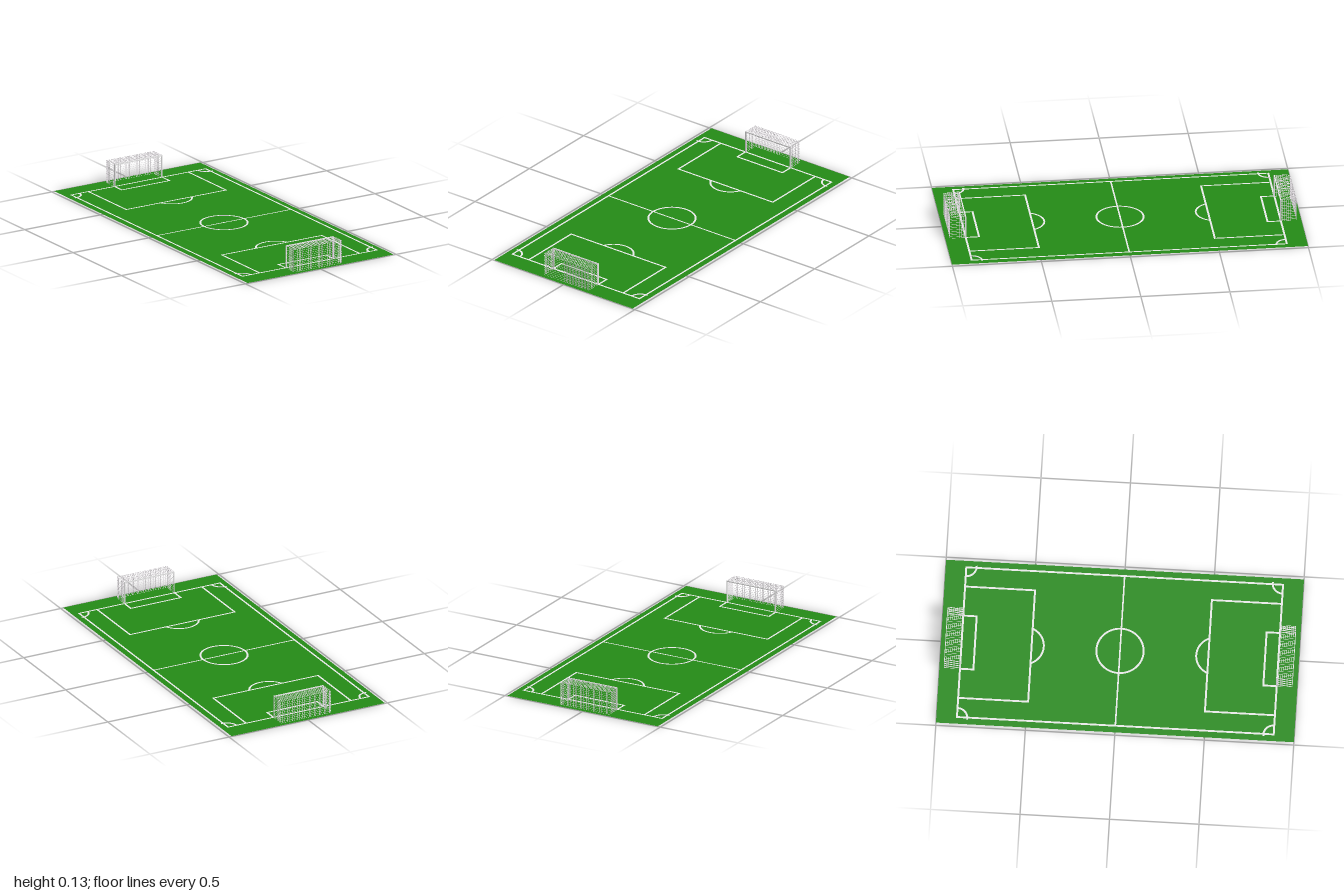
import * as THREE from 'three';
import { mergeGeometries } from 'three/addons/utils/BufferGeometryUtils.js';

const grass = new THREE.MeshStandardMaterial({ color: 0x248a16, side: THREE.DoubleSide });
grass.name = 'grass green';
const chalk = new THREE.MeshStandardMaterial({ color: 0xf6f6f6, side: THREE.DoubleSide });
chalk.name = 'line white';
const metal = new THREE.MeshStandardMaterial({ color: 0xf0f0f0 });
metal.name = 'post white';
const cord = new THREE.MeshStandardMaterial({ color: 0xeae6ea });
cord.name = 'net white';

const GROUND = 0.002, LINE = 0.004, W = 0.011;
const SIDE = 0.445, END = 0.885;

function add(parent, name, geometry, material) {
  const mesh = new THREE.Mesh(geometry, material);
  mesh.name = name;
  parent.add(mesh);
  return mesh;
}

// Flat painted strip covering a straight run between two points on the pitch
function strip(x0, z0, x1, z1, w = W) {
  const g = new THREE.PlaneGeometry(Math.abs(x1 - x0) + w, Math.abs(z1 - z0) + w);
  g.rotateX(-Math.PI / 2);
  return g.translate((x0 + x1) / 2, LINE, (z0 + z1) / 2);
}

// Painted arc with a narrow keel; angle runs from +x towards -z
function arc(x, z, r, start, length, w, bottom, top = LINE) {
  const section = [[-w / 2, top], [w / 2, top], [0.0015, bottom], [-0.0015, bottom], [-w / 2, top]];
  const points = section.map(([dr, y]) => new THREE.Vector2(r + dr, y));
  const g = new THREE.LatheGeometry(points, 48, start + Math.PI / 2, length).toNonIndexed();
  g.computeVertexNormals();
  return g.translate(x, 0, z);
}

// Square bar along one axis
function bar(x0, y0, z0, x1, y1, z1, t) {
  const g = new THREE.BoxGeometry(x1 - x0 + t, y1 - y0 + t, z1 - z0 + t);
  return g.translate((x0 + x1) / 2, (y0 + y1) / 2, (z0 + z1) / 2);
}

// Three-sided box marking that opens onto the goal line
function openBox(halfWidth, z) {
  return mergeGeometries([
    strip(-halfWidth, z, halfWidth, z),
    strip(-halfWidth, z, -halfWidth, END),
    strip(halfWidth, z, halfWidth, END),
  ]);
}

function makeGoal() {
  const goal = new THREE.Group();
  goal.name = 'goal';
  const hw = 0.155, h = 0.131, back = 0.973, post = 0.006, t = 0.0012;

  // Posts and crossbar
  for (const s of [-1, 1]) {
    add(goal, 'goalPost', bar(s * hw, post / 2, END, s * hw, h, END, post), metal);
  }
  add(goal, 'crossbar', bar(-hw, h, END, hw, h, END, post), metal);

  // Net: back, roof and two sides
  const cols = 30, rows = 12, deep = 8, y0 = GROUND, top = h + 0.002, nw = hw + 0.002;
  const backNet = [], roofNet = [], sideNet = [];
  for (let i = 0; i <= cols; i++) {
    const x = -nw + (2 * nw * i) / cols;
    backNet.push(bar(x, y0, back, x, top, back, t));
    roofNet.push(bar(x, top, END, x, top, back, t));
  }
  for (let j = 0; j <= rows; j++) {
    const y = y0 + ((top - y0) * j) / rows;
    backNet.push(bar(-nw, y, back, nw, y, back, t));
    for (const s of [-1, 1]) sideNet.push(bar(s * nw, y, END, s * nw, y, back, t));
  }
  for (let k = 0; k <= deep; k++) {
    const z = END + ((back - END) * k) / deep;
    roofNet.push(bar(-nw, top, z, nw, top, z, t));
    for (const s of [-1, 1]) sideNet.push(bar(s * nw, y0, z, s * nw, top, z, t));
  }
  add(goal, 'backNet', mergeGeometries(backNet), cord);
  add(goal, 'roofNet', mergeGeometries(roofNet), cord);
  add(goal, 'sideNets', mergeGeometries(sideNet), cord);
  return goal;
}

// Markings and goal for the +z half
function makeHalf() {
  const half = new THREE.Group();
  half.name = 'pitchHalf';
  add(half, 'goalLine', strip(-SIDE, END, SIDE, END), chalk);
  add(half, 'penaltyArea', openBox(0.331, 0.494), chalk);
  add(half, 'goalArea', openBox(0.158, 0.81), chalk);

  // Arc in front of the penalty area
  const r = 0.112, cz = 0.538, a = Math.asin((cz - 0.494) / r);
  add(half, 'penaltyArc', arc(0, cz, r, a, Math.PI - 2 * a, W, GROUND + 0.0005), chalk);

  // Corner arcs, slightly raised
  const sweep = Math.PI * 0.54;
  add(half, 'leftCornerArc', arc(SIDE + 0.005, END, 0.058, Math.PI - sweep, sweep, W, 0.0005, 0.005), chalk);
  add(half, 'rightCornerArc', arc(-SIDE - 0.005, END, 0.058, 0, sweep, W, 0.0005, 0.005), chalk);
  half.add(makeGoal());
  return half;
}

export function createModel() {
  const model = new THREE.Group();
  model.name = 'footballPitch';

  // Grass sheet
  const sheet = new THREE.PlaneGeometry(0.968, 2).rotateX(-Math.PI / 2);
  add(model, 'grass', sheet, grass).position.y = GROUND;

  // Shared markings
  for (const s of [-1, 1]) add(model, 'touchline', strip(s * SIDE, -END, s * SIDE, END), chalk);
  add(model, 'halfwayLine', strip(-SIDE, 0, SIDE, 0, 0.009), chalk);
  add(model, 'centreCircle', arc(0, 0, 0.132, 0, Math.PI * 2, W, 0.001), chalk);
  const spot = new THREE.CircleGeometry(0.007, 20).rotateX(-Math.PI / 2);
  add(model, 'centreSpot', spot, chalk).position.y = LINE + 0.0005;

  // Two matching halves
  for (const turn of [0, Math.PI]) {
    const half = makeHalf();
    half.rotation.y = turn;
    model.add(half);
  }
  return model;
}
